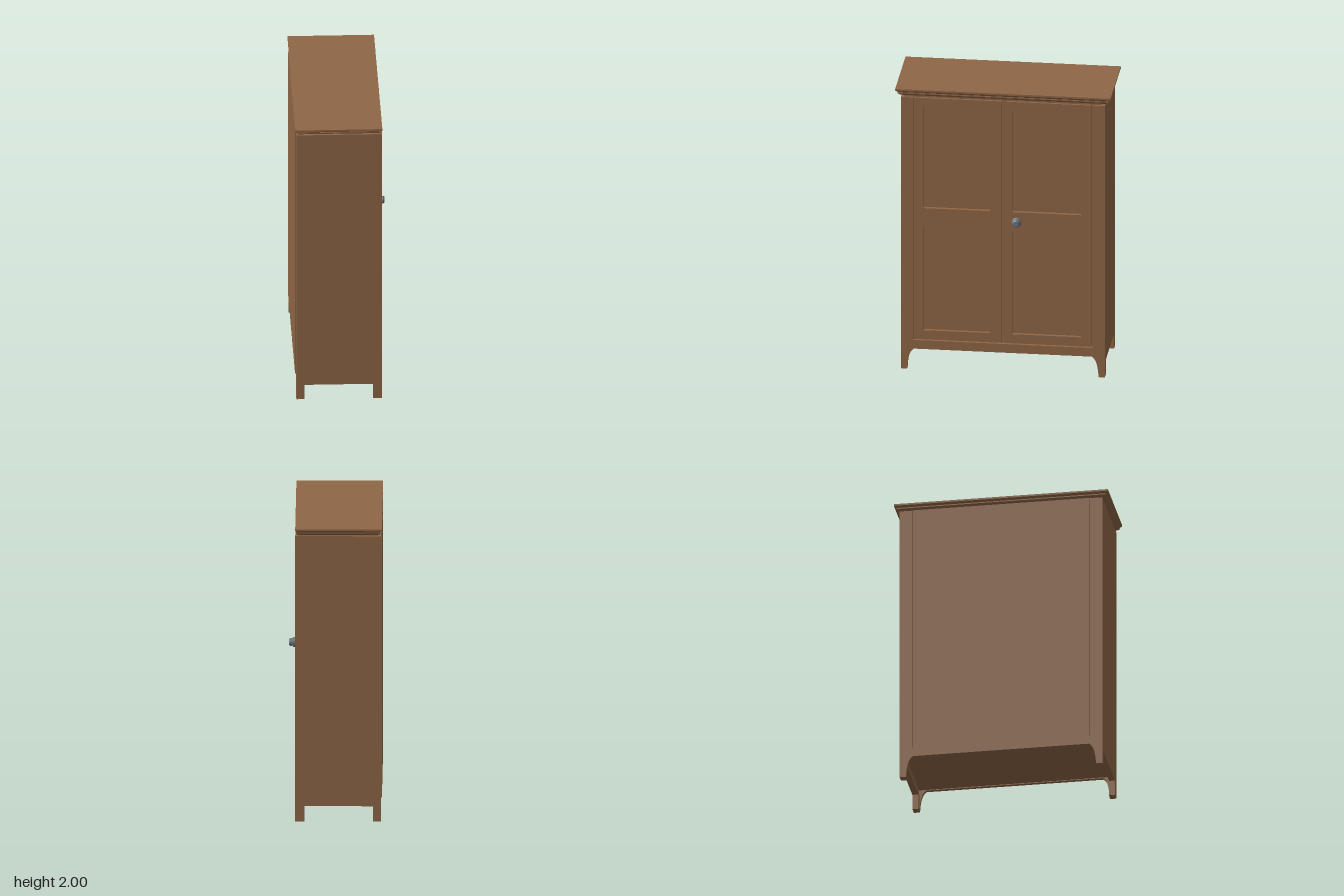
import * as THREE from 'three';

export function createModel() {
  const group = new THREE.Group();
  group.name = 'wardrobe';
  const wood = new THREE.MeshStandardMaterial({ color: 0x8f6646 });
  wood.name = 'brown wood';
  const metal = new THREE.MeshStandardMaterial({ color: 0x6b7279 });
  metal.name = 'grey metal';

  const add = (name, geometry, material = wood) => {
    const mesh = new THREE.Mesh(geometry, material);
    mesh.name = name;
    group.add(mesh);
    return mesh;
  };
  const box = (name, x0, x1, y0, y1, z0, z1) =>
    add(name, new THREE.BoxGeometry(x1 - x0, y1 - y0, z1 - z0)
      .translate((x0 + x1) / 2, (y0 + y1) / 2, (z0 + z1) / 2));
  const polygon = (pts) => new THREE.Shape(pts.map(([x, y]) => new THREE.Vector2(x, y)));
  const rect = (a, b, c, d) => [[a, c], [b, c], [b, d], [a, d]];
  // Plate facing +x: the shape is drawn in (-z, y) and spans x0 to x1
  const plate = (name, shape, x0, x1) =>
    add(name, new THREE.ExtrudeGeometry(shape, { depth: x1 - x0, bevelEnabled: false, curveSegments: 8 })
      .rotateY(Math.PI / 2).translate(x0, 0, 0));

  const top = 1.945, back = -0.305, front = 0.265, half = 0.682;

  // Side panels with a cut-out between the feet
  const sideShape = polygon([
    [back, 0], [-0.25, 0], [-0.25, 0.105], [0.205, 0.105], [0.205, 0],
    [front - 0.025, 0], [front - 0.025, top], [back, top],
  ]);
  for (const s of [1, -1]) {
    const side = add(s > 0 ? 'leftSide' : 'rightSide',
      new THREE.ExtrudeGeometry(sideShape, { depth: 0.04, bevelEnabled: false }));
    side.position.z = s > 0 ? half - 0.04 : -half;
  }

  // Front and back frames: stiles running into curved feet, joined by a low rail
  const frame = new THREE.Shape();
  frame.moveTo(-half, 0);
  frame.lineTo(-0.64, 0);
  frame.bezierCurveTo(-0.635, 0.08, -0.625, 0.125, -0.595, 0.145);
  frame.lineTo(0.595, 0.145);
  frame.bezierCurveTo(0.625, 0.125, 0.635, 0.08, 0.64, 0);
  frame.lineTo(half, 0);
  frame.lineTo(half, top);
  frame.lineTo(0.598, top);
  frame.lineTo(0.598, 0.207);
  frame.lineTo(-0.598, 0.207);
  frame.lineTo(-0.598, top);
  frame.lineTo(-half, top);
  plate('frontFrame', frame, front - 0.025, front);
  plate('backFrame', frame, back, back + 0.02);

  // Solid foot cores behind the frames
  for (const s of [1, -1]) {
    const z = [s * 0.641, s * half].sort((a, b) => a - b);
    box('frontFoot', 0.205, front - 0.005, 0, 0.12, ...z);
    box('backFoot', back + 0.005, -0.25, 0, 0.12, ...z);
  }

  // Carcass and back panel
  box('carcass', -0.29, 0.235, 0.148, top, -0.645, 0.645);
  box('backPanel', -0.31, -0.285, 0.145, top, -0.592, 0.592);

  // Doors, each with two sunken panels
  const doors = [
    { name: 'leftDoor', edge: [-0.593, -0.008], hole: [-0.53, -0.085] },
    { name: 'rightDoor', edge: [0.016, 0.588], hole: [0.065, 0.522] },
  ];
  for (const { name, edge, hole } of doors) {
    const shape = polygon(rect(...edge, 0.215, top));
    for (const [y0, y1] of [[0.28, 1.02], [1.155, 1.88]]) {
      shape.holes.push(polygon(rect(...hole, y0, y1)));
    }
    plate(name, shape, 0.23, front);
    plate(name + 'Panels', polygon(rect(hole[0] - 0.01, hole[1] + 0.01, 0.27, 1.89)), 0.225, 0.24);
  }

  // Moulded cornice: rectangles [y, x0, x1, half width] stacked from bottom to top
  const levels = [
    [1.94, -0.285, 0.25, 0.66], [1.955, -0.285, 0.25, 0.66], [1.955, -0.285, 0.25, 0.685],
    [1.968, -0.3, 0.26, 0.705], [1.975, -0.3, 0.26, 0.705], [1.975, -0.295, 0.255, 0.7],
    [1.988, -0.31, 0.265, 0.72], [2, -0.31, 0.265, 0.72],
  ];
  const ring = ([y, x0, x1, w]) => [[x0, y, w], [x1, y, w], [x1, y, -w], [x0, y, -w]];
  const pos = [];
  const quad = (a, b, c, d) => pos.push(...a, ...b, ...c, ...a, ...c, ...d);
  for (let i = 0; i < levels.length - 1; i++) {
    const lo = ring(levels[i]), hi = ring(levels[i + 1]);
    for (let k = 0; k < 4; k++) {
      const n = (k + 1) % 4;
      quad(lo[k], lo[n], hi[n], hi[k]);
    }
  }
  quad(...ring(levels[levels.length - 1]));
  quad(...ring(levels[0]).reverse());
  const cornice = new THREE.BufferGeometry();
  cornice.setAttribute('position', new THREE.Float32BufferAttribute(pos, 3));
  cornice.computeVertexNormals();
  add('cornice', cornice);

  // Turned knob on the right door
  const profile = [[0, 0], [0.03, 0], [0.033, 0.006], [0.033, 0.016], [0.025, 0.021],
    [0.026, 0.036], [0.019, 0.045], [0, 0.045]].map(([r, y]) => new THREE.Vector2(r, y));
  const knob = add('knob', new THREE.LatheGeometry(profile, 16).toNonIndexed().rotateZ(-Math.PI / 2), metal);
  knob.geometry.computeVertexNormals();
  knob.position.set(front, 1.087, -0.092);

  return group;
}
